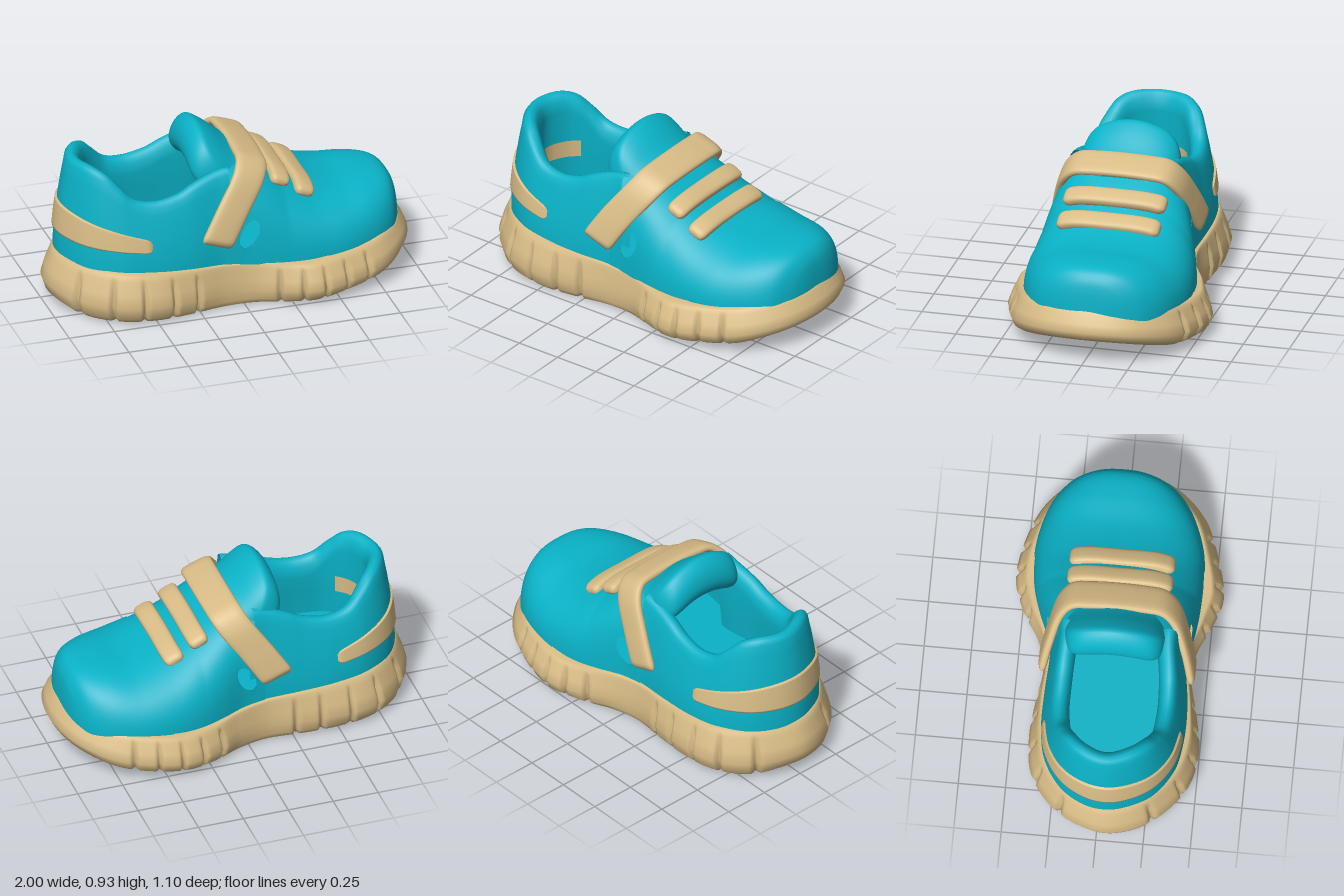
import * as THREE from 'three';
import { mergeVertices } from 'three/addons/utils/BufferGeometryUtils.js';

const V = (x, y, z) => new THREE.Vector3(x, y, z);
const spow = (v, p) => Math.sign(v) * Math.abs(v) ** p;

// Smooth curve y(x) through [x, y] points
const spline = p => x => {
  const n = p.length - 1;
  x = Math.min(Math.max(x, p[0][0]), p[n][0]);
  let i = 0;
  while (i < n - 1 && x > p[i + 1][0]) i++;
  const slope = k => {
    const a = p[Math.max(k - 1, 0)], b = p[Math.min(k + 1, n)];
    return (b[1] - a[1]) / (b[0] - a[0]);
  };
  const w = p[i + 1][0] - p[i][0], t = (x - p[i][0]) / w, s = 1 - t;
  return p[i][1] * s * s * (1 + 2 * t) + p[i + 1][1] * t * t * (3 - 2 * t)
    + w * (slope(i) * t * s * s - slope(i + 1) * t * t * s);
};

// Skin over rows of points; skip(i, j) leaves a face open
function loft(rows, skip = () => false) {
  const m = rows[0].length, index = [];
  for (let i = 0; i < rows.length - 1; i++) for (let j = 0; j < m - 1; j++) {
    if (skip(i, j)) continue;
    const a = i * m + j, b = a + m;
    index.push(a, a + 1, b + 1, a, b + 1, b);
  }
  let g = new THREE.BufferGeometry().setFromPoints(rows.flat());
  g.setIndex(index);
  g = mergeVertices(g, 1e-5);
  g.computeVertexNormals();
  return g;
}

// Plan path (x, z) sampled with its inward direction
function planPath(pts, closed, n) {
  const c = new THREE.CatmullRomCurve3(pts.map(([x, z]) => V(x, 0, z)), closed);
  return Array.from({ length: n + 1 }, (_, i) => {
    const p = c.getPointAt(i / n), t = c.getTangentAt(i / n);
    return { x: p.x, at: (d, y) => V(p.x - t.z * d, y, p.z + t.x * d) };
  });
}

const soleOutline = planPath([
  [1, -0.01], [0.95, 0.23], [0.8, 0.41], [0.6, 0.5], [0.37, 0.55], [0.2, 0.5], [0.05, 0.435], [-0.1, 0.425],
  [-0.3, 0.47], [-0.5, 0.5], [-0.7, 0.46], [-0.88, 0.32], [-0.97, 0.18], [-1, 0.04], [-0.96, -0.11],
  [-0.87, -0.25], [-0.7, -0.37], [-0.5, -0.4], [-0.3, -0.385], [-0.1, -0.36], [0.05, -0.4], [0.2, -0.49],
  [0.38, -0.55], [0.6, -0.52], [0.8, -0.43], [0.95, -0.25]], true, 480);
const heelPath = planPath([
  [-0.065, 0.398], [-0.12, 0.397], [-0.3, 0.42], [-0.5, 0.42], [-0.68, 0.385], [-0.83, 0.28], [-0.91, 0.14],
  [-0.93, 0.04], [-0.91, -0.07], [-0.83, -0.2], [-0.68, -0.3], [-0.5, -0.335], [-0.3, -0.335], [-0.12, -0.325],
  [-0.065, -0.328]], false, 150);

const BASE = 0.2;
const soleTop = spline([[-1, 0.292], [-0.6, 0.277], [-0.3, 0.26], [0, 0.24], [0.3, 0.226], [0.6, 0.242], [0.8, 0.266], [1, 0.295]]);
const soleBottom = spline([[-1, 0.035], [-0.9, 0.004], [-0.7, 0], [0.3, 0.01], [0.5, 0.02], [0.75, 0.05], [1, 0.12]]);
const soleFlare = spline([[-0.7, 1], [-0.5, 0.85], [-0.3, 0.55], [-0.1, 0.28], [0.05, 0.35], [0.25, 0.8], [0.4, 1]]);
const rimY = spline([[-0.93, 0.83], [-0.87, 0.83], [-0.78, 0.8], [-0.7, 0.735], [-0.6, 0.665], [-0.48, 0.643],
  [-0.35, 0.665], [-0.25, 0.71], [-0.1, 0.765], [-0.06, 0.77]]);
const wallInset = spline([[0, 0], [0.2, 0], [0.45, 0.012], [0.75, 0.038], [0.9, 0.055]]);

// Sole: bulged edge cut into lugs, with cross grooves under the heel
function soleGeometry() {
  const cuts = [-0.9, -0.74, -0.57, -0.4, -0.26, 0.17, 0.29, 0.42, 0.55, 0.68];
  const groove = x => cuts.reduce((s, c) => s + Math.exp(-(((x - c) / 0.011) ** 2)), 0);
  const profile = [[0.08, 0], [0.055, 0.01], [0.02, 0.12], [0, 0.36], [0.018, 0.6], [0.045, 0.85],
    [0.055, 0.95], [0.07, 1], [0.14, 1]];
  return loft(soleOutline.map(o => {
    const lo = soleBottom(o.x), hi = soleTop(o.x), g = groove(o.x), k = soleFlare(o.x);
    const row = profile.map(([d, f]) => o.at(d * k + (f < 0.8 ? 0.03 * g : 0), lo + (hi - lo) * f));
    if (o.x < -0.2) row[0].y += 0.02 * g;
    return [V(row[0].x, row[0].y, 0.03), ...row];
  }));
}

// Heel counter with a padded collar rolling inside
function heelGeometry() {
  return loft(heelPath.map(o => {
    const H = rimY(o.x), row = [];
    for (let f = 0; f <= 0.86; f += 0.095) row.push(o.at(wallInset(f), BASE + f * (H - BASE)));
    for (const [d, y] of [[0.06, 0.03], [0.075, 0.009], [0.095, 0], [0.12, 0.01], [0.14, 0.04], [0.15, 0.1]])
      row.push(o.at(d, H - y));
    row.push(o.at(0.135, 0.45), o.at(0.12, 0.28));
    return row;
  }));
}

// Tapered band around the heel
function heelBandGeometry() {
  const path = heelPath.filter(o => o.x < -0.5);
  const bottom = spline([[-0.93, 0.41], [-0.7, 0.4], [-0.5, 0.38]]);
  const top = spline([[-0.93, 0.57], [-0.7, 0.505], [-0.5, 0.445]]);
  return loft(path.map((o, i) => {
    const end = Math.min(1, Math.min(i, path.length - 1 - i) / 3), s = Math.sqrt(end * (2 - end));
    const a = bottom(o.x), b = top(o.x), mid = (a + b) / 2, H = rimY(o.x);
    return [-1, -0.98, -0.85, -0.4, 0, 0.4, 0.85, 0.98, 1].map((k, j) => {
      const y = mid + k * (0.4 + 0.6 * s) * (b - a) / 2;
      const lift = j % 8 === 0 ? -0.01 : 0.014 * s - 0.003;
      return o.at(wallInset((y - BASE) / (H - BASE)) - lift, y);
    });
  }));
}

// Forefoot: arches along x given as [x, z right, z left, ridge height]
const arches = [[-0.1, -0.33, 0.4, 0.785], [0.02, -0.35, 0.41, 0.76], [0.15, -0.4, 0.43, 0.695], [0.28, -0.44, 0.44, 0.62],
  [0.42, -0.457, 0.44, 0.55], [0.58, -0.447, 0.42, 0.512], [0.74, -0.4, 0.36, 0.512], [0.85, -0.325, 0.28, 0.5],
  [0.905, -0.24, 0.19, 0.46], [0.932, -0.15, 0.1, 0.38], [0.945, -0.04, 0, 0.195]];
const sides = new THREE.CatmullRomCurve3(arches.map(a => V(a[0], a[1], a[2])), false, 'catmullrom');
const ridge = new THREE.CatmullRomCurve3(arches.map(a => V(a[0], a[3], 0)), false, 'catmullrom');

function archGeometry(from, grow, hole) {
  const N = 110, M = 84, rows = [], inside = [];
  for (let i = 0; i <= N; i++) {
    const t = from + (1 - from) * i / N, s = sides.getPoint(t), h = ridge.getPoint(t).y + grow;
    const n = 2.6 + 0.9 * THREE.MathUtils.clamp((0.25 - s.x) / 0.25, 0, 1);
    const mid = (s.y + s.z) / 2, half = (s.z - s.y) / 2 + grow;
    const row = [], flags = [];
    for (let j = 0; j <= M; j++) {
      const a = Math.PI * j / M;
      const p = V(s.x + grow * t, BASE + (h - BASE) * Math.abs(Math.sin(a)) ** (2 / n), mid - half * spow(Math.cos(a), 2 / n));
      // Side vents: points inside a tilted oval move out to its edge
      const cx = p.z > 0 ? 0.028 : 0.005, dx = p.x - cx, dy = p.y - 0.406;
      const e = Math.hypot((dx * 0.5 + dy * 0.866) / 0.083, (dx * 0.866 - dy * 0.5) / 0.043);
      const hit = hole && e < 1;
      if (hit && e > 0.01) { p.x = cx + dx / e; p.y = 0.406 + dy / e; }
      row.push(p);
      flags.push(hit);
    }
    rows.push(row);
    inside.push(flags);
  }
  return loft(rows, (i, j) => inside[i][j] && inside[i + 1][j] && inside[i][j + 1] && inside[i + 1][j + 1]);
}

// Padded tongue: side outline swept across and arched
function tongueGeometry() {
  const outline = new THREE.CatmullRomCurve3([[-0.225, 0.74], [-0.242, 0.8], [-0.22, 0.88], [-0.165, 0.93], [-0.11, 0.905],
    [0, 0.815], [0.12, 0.73], [0.1, 0.69], [-0.03, 0.73], [-0.13, 0.74], [-0.18, 0.7]].map(([x, y]) => V(x, y, 0)), true).getPoints(50);
  const rows = [];
  for (let i = 0; i <= 40; i++) {
    const s = Math.cos(Math.PI * i / 40), k = Math.sqrt(Math.max(0, 1 - s ** 8));
    rows.push(outline.map(p => V(-0.08 + (p.x + 0.08) * k, 0.79 + (p.y - 0.79) * k - 0.1 * s * s, 0.02 + 0.27 * s)));
  }
  return loft(rows);
}

// Flat strap swept along a path; tip = how much the ends narrow
function strapGeometry(points, width, thick, tip) {
  const c = new THREE.CatmullRomCurve3(points.map(p => V(...p))), N = 80, L = c.getLength(), rows = [];
  for (let i = 0; i <= N; i++) {
    const t = i / N, p = c.getPointAt(t), T = c.getTangentAt(t);
    const normal = V(0, 0, 0).crossVectors(T, width).normalize();
    const d = Math.min(1, Math.min(t, 1 - t) * L / 0.045), s = Math.sqrt(d * (2 - d));
    rows.push(Array.from({ length: 25 }, (_, j) => {
      const a = j / 24 * Math.PI * 2;
      return p.clone().addScaledVector(width, spow(Math.cos(a), 0.6) * (1 - tip + tip * s))
        .addScaledVector(normal, spow(Math.sin(a), 0.7) * thick * s);
    }));
  }
  return loft(rows);
}

export function createModel() {
  const teal = new THREE.MeshStandardMaterial({ color: 0x0ab2c7, side: THREE.DoubleSide });
  teal.name = 'teal';
  const tan = new THREE.MeshStandardMaterial({ color: 0xd9bd87, side: THREE.DoubleSide });
  tan.name = 'tan';
  const shoe = new THREE.Group();
  shoe.name = 'shoe';
  const add = (name, geometry, material) => {
    const mesh = new THREE.Mesh(geometry, material);
    mesh.name = name;
    shoe.add(mesh);
    return mesh;
  };

  add('sole', soleGeometry(), tan);
  add('heelCollar', heelGeometry(), teal);
  add('heelBand', heelBandGeometry(), tan);
  add('innerHeelPatch', loft(heelPath.filter(o => o.x < -0.75).map(o => [o.at(0.148, 0.55), o.at(0.141, 0.45)])), tan);
  add('forefoot', archGeometry(0, 0, true), teal);
  add('toeCap', archGeometry(0.42, 0.005, false), teal);
  add('tongue', tongueGeometry(), teal);

  // Insole floor inside the shoe
  const floor = new THREE.Shape(soleOutline.filter((_, i) => i % 6 === 0).map(o => {
    const p = o.at(0.16 * soleFlare(o.x), 0);
    return new THREE.Vector2(p.x, -p.z);
  }));
  const insole = add('insole', new THREE.ShapeGeometry(floor), teal);
  insole.rotation.x = -Math.PI / 2;
  insole.position.y = 0.3;

  // Closure strap over the instep and two lace bars
  add('closureStrap', strapGeometry([[-0.165, 0.38, 0.435], [-0.06, 0.55, 0.39], [0.045, 0.7, 0.325], [0.08, 0.757, 0.26],
    [0.087, 0.77, 0.17], [0.09, 0.775, 0.02], [0.087, 0.77, -0.13], [0.08, 0.757, -0.22], [0.045, 0.7, -0.275],
    [-0.06, 0.55, -0.325], [-0.165, 0.39, -0.36]], V(0.083, -0.03, 0), 0.025, 0.15), tan);
  for (const [x, y] of [[0.245, 0.65], [0.38, 0.567]])
    add('laceBar', strapGeometry([[x - 0.01, y - 0.03, 0.295], [x, y - 0.005, 0.2], [x, y, 0.02], [x, y - 0.005, -0.17],
      [x - 0.01, y - 0.025, -0.265]], V(0.05, -0.022, 0), 0.032, 0.6), tan);
  return shoe;
}
